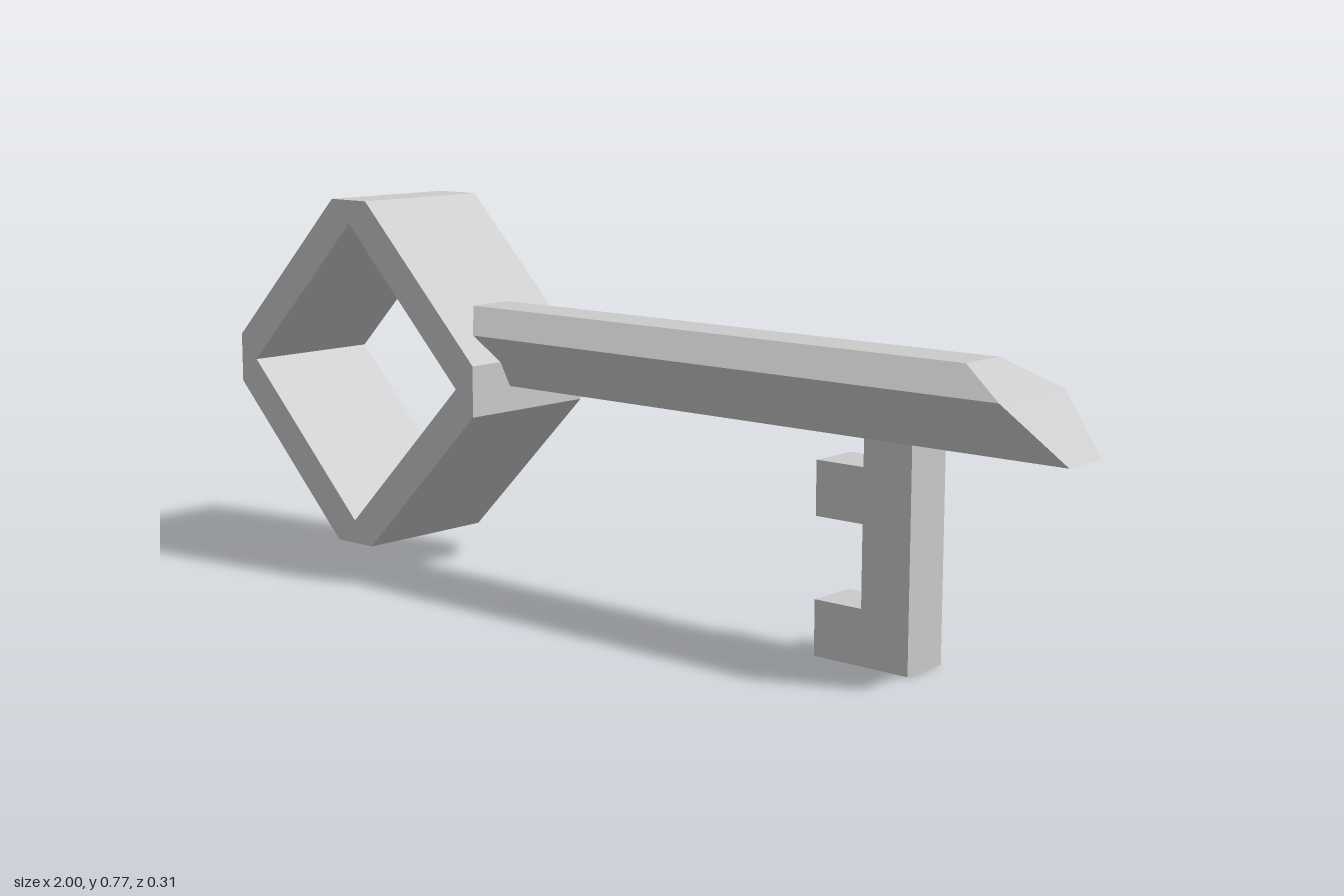
import * as THREE from 'three';

const material = new THREE.MeshStandardMaterial({ color: 0xcccccc, flatShading: true });

const toPoints = (pairs) => pairs.map(([x, y]) => new THREE.Vector2(x, y));

// Extrudes a front outline, centred on z = 0
function plate(name, outline, depth, hole) {
  const shape = new THREE.Shape(toPoints(outline));
  if (hole) shape.holes.push(new THREE.Path(toPoints(hole)));
  const geometry = new THREE.ExtrudeGeometry(shape, { depth, bevelEnabled: false });
  geometry.translate(0, 0, -depth / 2);
  const mesh = new THREE.Mesh(geometry, material);
  mesh.name = name;
  return mesh;
}

// Bow: diamond ring with clipped corners
function createBow() {
  const r = 0.358, c = 0.051, h = 0.31;
  const outline = [[r, -c], [r, c], [c, r], [-c, r], [-r, c], [-r, -c], [-c, -r], [c, -r]];
  const hole = [[h, 0], [0, -h], [-h, 0], [0, h]];
  const bow = plate('bow', outline, 0.308, hole);
  bow.position.set(-0.642, 0.411, 0);
  return bow;
}

// Shaft: six-sided bar, each level with its own start (inside the bow) and sloped tip
function createShaft() {
  const levels = [ // y, half width, start x, tip x
    [0.411, 0.051, -0.3, 1.0],
    [0.513, 0.102, -0.35, 0.895],
    [0.564, 0.051, -0.4, 0.795],
  ];
  const positions = [];
  const quad = (a, b, c, d) => positions.push(...a, ...b, ...c, ...a, ...c, ...d);
  const corner = ([y, w, start, tip], side, end) => [end ? tip : start, y, side * w];
  const [bottom, , top] = levels;

  for (let i = 0; i < 2; i++) {
    const lo = levels[i], hi = levels[i + 1];
    // front and back sides
    quad(corner(lo, 1, 0), corner(lo, 1, 1), corner(hi, 1, 1), corner(hi, 1, 0));
    quad(corner(lo, -1, 1), corner(lo, -1, 0), corner(hi, -1, 0), corner(hi, -1, 1));
    // tip and bow ends
    quad(corner(lo, 1, 1), corner(lo, -1, 1), corner(hi, -1, 1), corner(hi, 1, 1));
    quad(corner(lo, -1, 0), corner(lo, 1, 0), corner(hi, 1, 0), corner(hi, -1, 0));
  }
  quad(corner(top, 1, 0), corner(top, 1, 1), corner(top, -1, 1), corner(top, -1, 0));
  quad(corner(bottom, -1, 0), corner(bottom, -1, 1), corner(bottom, 1, 1), corner(bottom, 1, 0));

  const geometry = new THREE.BufferGeometry();
  geometry.setAttribute('position', new THREE.Float32BufferAttribute(positions, 3));
  geometry.computeVertexNormals();
  const shaft = new THREE.Mesh(geometry, material);
  shaft.name = 'shaft';
  return shaft;
}

// Bit: post with two teeth pointing back to the bow
function createBit() {
  const outline = [
    [0.485, 0], [0.69, 0], [0.69, 0.411], [0.588, 0.411], [0.588, 0.36], [0.485, 0.36],
    [0.485, 0.258], [0.588, 0.258], [0.588, 0.105], [0.485, 0.105],
  ];
  return plate('bit', outline, 0.102);
}

export function createModel() {
  const key = new THREE.Group();
  key.name = 'key';
  key.add(createBow(), createShaft(), createBit());
  return key;
}
